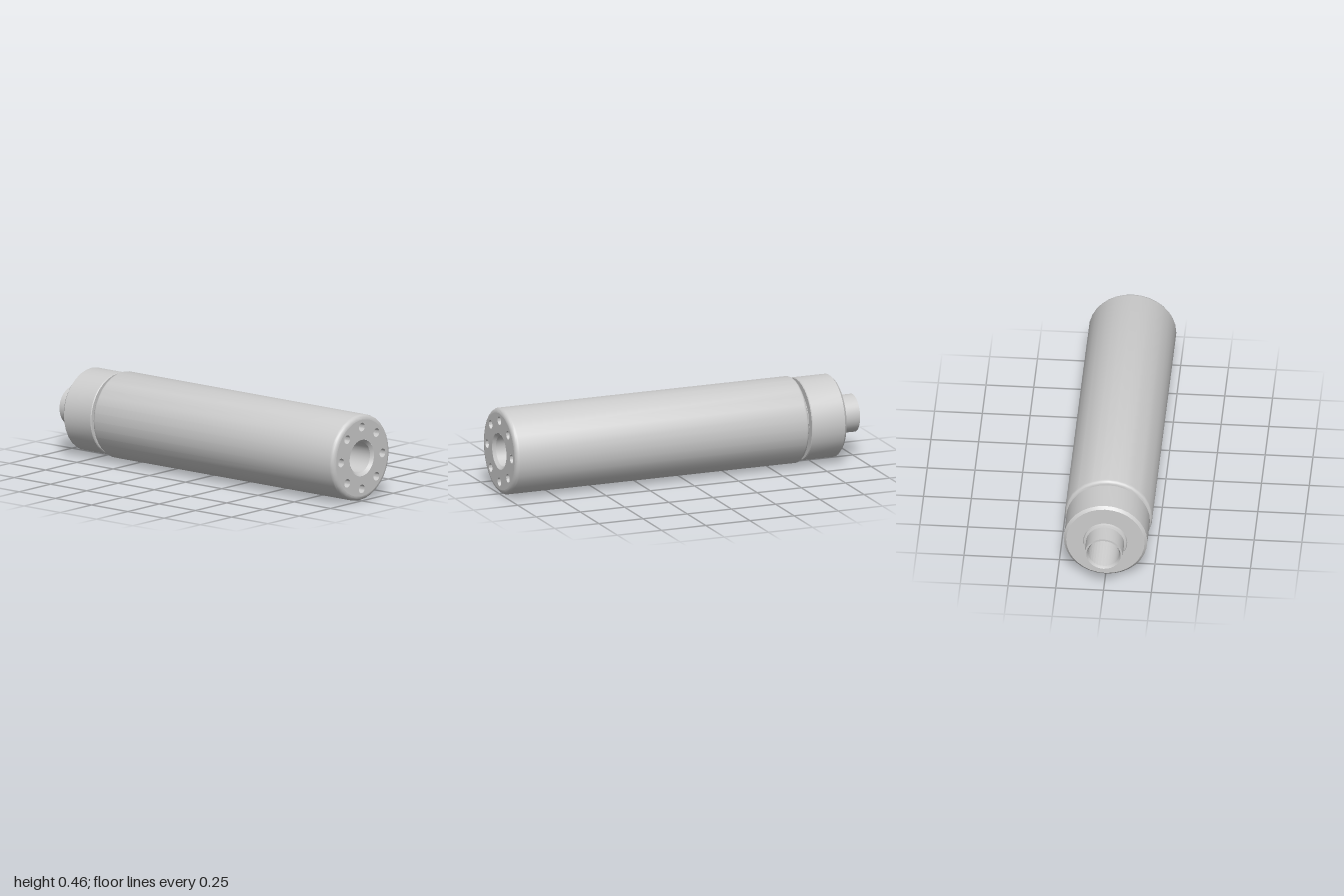
import * as THREE from 'three';
import { toCreasedNormals } from 'three/addons/utils/BufferGeometryUtils.js';

const SEG = 32;
const R = 0.229;       // main tube radius, also the height of the axis
const BORE = 0.082;
const FILLET = 0.025;

const material = new THREE.MeshStandardMaterial({ color: 0xcccccc });

// Turned part: profile of [radius, z], outside surfaces run towards +z
function turned(name, profile, segments = SEG) {
  const points = profile.map(([r, z]) => new THREE.Vector2(r, z));
  const geometry = new THREE.LatheGeometry(points, segments).rotateX(Math.PI / 2);
  const mesh = new THREE.Mesh(toCreasedNormals(geometry, 0.5), material);
  mesh.name = name;
  return mesh;
}

// Quarter-round profile points about a centre, between two angles
function arc(r, z, radius, from, to, steps = 5) {
  return Array.from({ length: steps + 1 }, (_, i) => {
    const a = from + (to - from) * i / steps;
    return [r + radius * Math.cos(a), z + radius * Math.sin(a)];
  });
}

export function createModel() {
  const model = new THREE.Group();
  model.name = 'tube';
  const q = Math.PI / 2;

  // Long main tube with rounded ends
  model.add(turned('mainTube', [
    [0.177, -0.663],
    ...arc(R - 0.02, -0.643, 0.02, -q, 0),
    ...arc(R - FILLET, 1 - FILLET, FILLET, 0, q),
  ]));

  // Narrow groove between tube and rear cap
  model.add(turned('groove', [[0.177, -0.68], [0.177, -0.663]]));

  // Rear cap with chamfered edges
  model.add(turned('rearCap', [
    [0.115, -0.88], [0.205, -0.88], [0.219, -0.866],
    [0.219, -0.684], [0.215, -0.68], [0.177, -0.68],
  ]));

  // Neck with a small collar at its base
  model.add(turned('neck', [
    [0.09, -1], [0.1, -1], [0.1, -0.894], [0.112, -0.89], [0.115, -0.88],
  ]));

  // Through bore, chamfered at both mouths
  model.add(turned('bore', [
    [0.097, 1], [BORE, 0.985], [BORE, -0.985], [0.09, -1],
  ]));

  // Front face, pierced by the bore and a ring of eight blind holes
  const face = new THREE.Shape();
  face.absarc(0, 0, R - FILLET, 0, Math.PI * 2);
  const centres = [[0, 0, 0.097]];
  for (let i = 0; i < 8; i++) {
    const a = i * Math.PI / 4;
    const x = 0.165 * Math.cos(a), y = 0.165 * Math.sin(a);
    centres.push([x, y, 0.023]);

    const hole = turned('blindHole', [[0.023, 0], [0.023, -0.05], [0, -0.05]], 24);
    hole.position.set(x, y, 1);
    model.add(hole);
  }
  for (const [x, y, r] of centres) {
    const path = new THREE.Path();
    path.absarc(x, y, r, 0, Math.PI * 2, true);
    face.holes.push(path);
  }
  const frontFace = new THREE.Mesh(new THREE.ShapeGeometry(face, SEG), material);
  frontFace.name = 'frontFace';
  frontFace.position.z = 1;
  model.add(frontFace);

  model.position.y = R;
  const root = new THREE.Group();
  root.add(model);
  return root;
}
